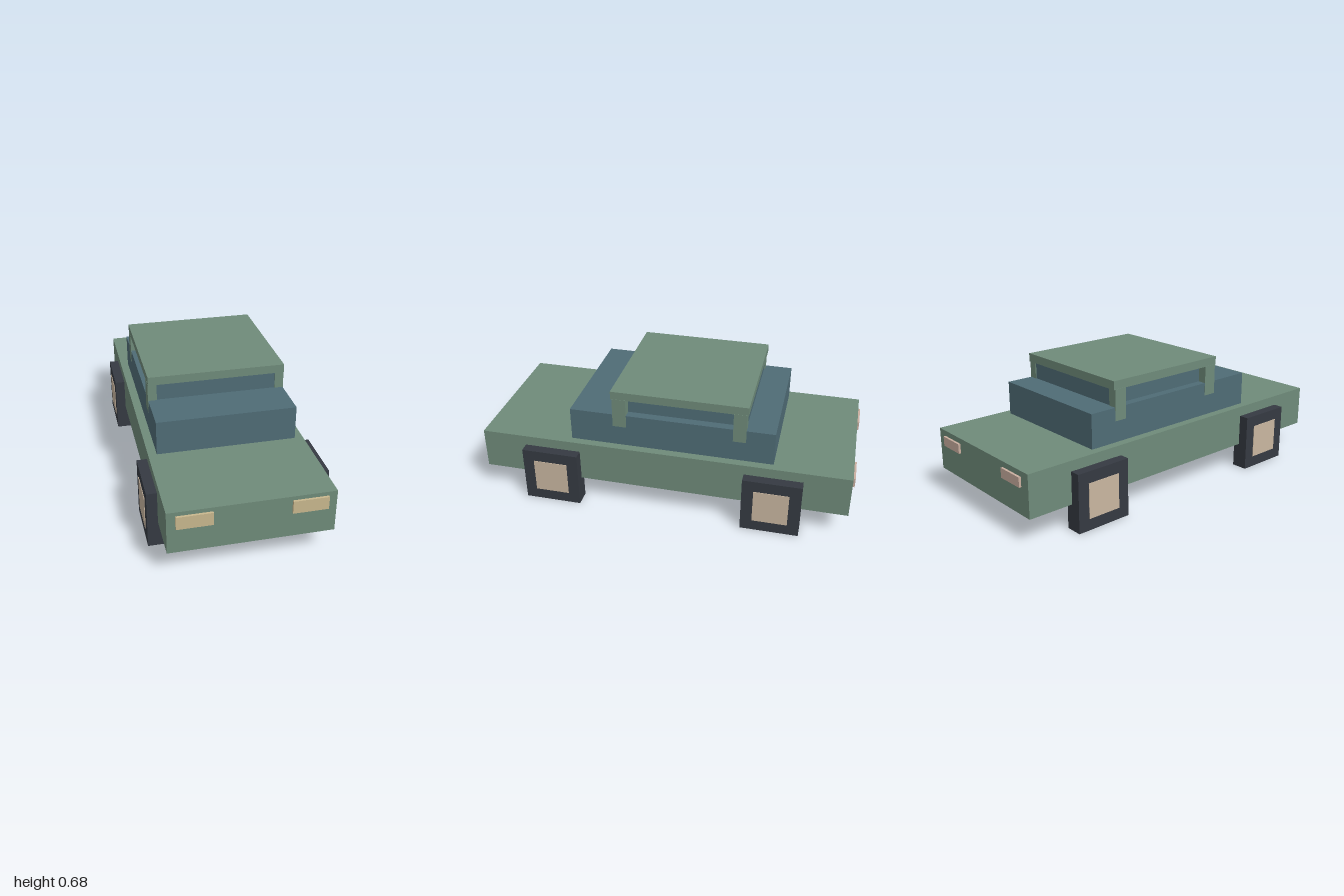
import * as THREE from 'three';

function material(name, color) {
  const m = new THREE.MeshStandardMaterial({ color });
  m.name = name;
  return m;
}

export function createModel() {
  const green = material('sage green paint', 0x6f8b7a);
  const blue = material('blue glass', 0x4f6c76);
  const black = material('dark rubber', 0x353a42);
  const tan = material('tan hub', 0xc9b6a0);
  const yellow = material('warm headlight', 0xc9b88e);
  const pink = material('dusty tail light', 0xc9ae9f);

  const car = new THREE.Group();
  car.name = 'car';

  // Box given by its lower and upper limits on each axis
  function block(name, mat, [x0, x1], [y0, y1], [z0, z1]) {
    const mesh = new THREE.Mesh(new THREE.BoxGeometry(x1 - x0, y1 - y0, z1 - z0), mat);
    mesh.position.set((x0 + x1) / 2, (y0 + y1) / 2, (z0 + z1) / 2);
    mesh.name = name;
    car.add(mesh);
  }
  // Limits mirrored to the chosen side
  const mirror = (s, a, b) => (s > 0 ? [a, b] : [-b, -a]);

  // Hull and cabin
  block('body', green, [-0.404, 0.404], [0.137, 0.36], [-0.988, 0.988]);
  block('cabin', blue, [-0.36, 0.36], [0.36, 0.54], [-0.587, 0.495]);
  block('upperWindows', blue, [-0.315, 0.315], [0.54, 0.631], [-0.435, 0.258]);
  block('roof', green, [-0.36, 0.36], [0.63, 0.675], [-0.447, 0.27]);

  for (const s of [1, -1]) {
    const side = s > 0 ? 'left' : 'right';

    // Roof pillars, running a little way down the cabin sides
    const pillarX = mirror(s, 0.315, 0.3615);
    block(side + 'FrontPillar', green, pillarX, [0.47, 0.632], [0.19, 0.263]);
    block(side + 'RearPillar', green, pillarX, [0.47, 0.632], [-0.44, -0.372]);

    // Lamps
    block(side + 'Headlight', yellow, mirror(s, 0.187, 0.362), [0.272, 0.339], [0.98, 1]);
    block(side + 'TailLight', pink, mirror(s, 0.197, 0.348), [0.28, 0.331], [-1, -0.98]);

    // Square wheels with hubs showing on both faces
    for (const z of [0.595, -0.595]) {
      const end = z > 0 ? 'Front' : 'Rear';
      block(side + end + 'Wheel', black, mirror(s, 0.369, 0.457), [0, 0.306], [z - 0.153, z + 0.153]);
      block(side + end + 'Hub', tan, mirror(s, 0.366, 0.46), [0.061, 0.245], [z - 0.092, z + 0.092]);
    }
  }
  return car;
}
